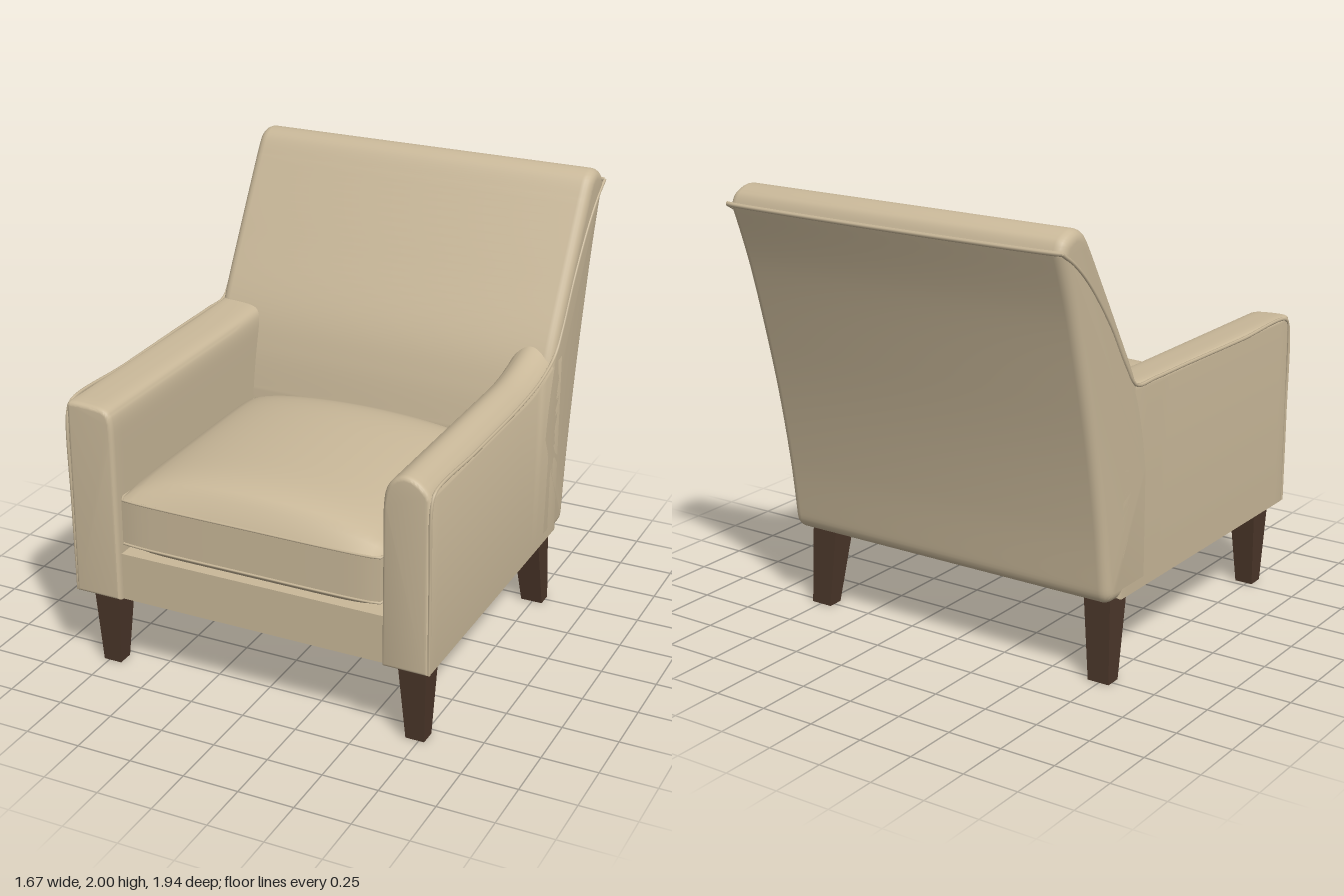
import * as THREE from 'three';
import { toCreasedNormals } from 'three/addons/utils/BufferGeometryUtils.js';

const fabric = new THREE.MeshStandardMaterial({ color: 0xc9b899 });
fabric.name = 'beigeFabric';
const wood = new THREE.MeshStandardMaterial({ color: 0x4c372a });
wood.name = 'darkWood';

const v2 = (pts) => pts.map(([x, y]) => new THREE.Vector2(x, y));

export function createModel() {
  const group = new THREE.Group();
  group.name = 'armchair';

  const add = (name, geometry, material = fabric) => {
    const mesh = new THREE.Mesh(geometry, material);
    mesh.name = name;
    group.add(mesh);
    return mesh;
  };
  // Move every vertex of a geometry by a rule
  const deform = (geometry, rule) => {
    const p = geometry.attributes.position;
    const v = new THREE.Vector3();
    for (let i = 0; i < p.count; i++) {
      rule(v.fromBufferAttribute(p, i));
      p.setXYZ(i, v.x, v.y, v.z);
    }
    geometry.computeVertexNormals();
    return geometry;
  };
  const box = (x0, x1, y0, y1, z0, z1, sx = 1, sy = 1, sz = 1) =>
    new THREE.BoxGeometry(x1 - x0, y1 - y0, z1 - z0, sx, sy, sz)
      .translate((x0 + x1) / 2, (y0 + y1) / 2, (z0 + z1) / 2);
  const piping = (name, pts, closed = false, radius = 0.008) => {
    const curve = new THREE.CatmullRomCurve3(pts.map((p) => new THREE.Vector3(...p)), closed, 'centripetal');
    add(name, new THREE.TubeGeometry(curve, 120, radius, 6, closed));
  };

  // Raked backrest: side profile in (z, y), extruded across the width
  const profile = new THREE.Shape();
  profile.moveTo(-0.27, 0.38);
  profile.lineTo(-0.54, 0.38);
  profile.quadraticCurveTo(-0.6, 0.38, -0.607, 0.45);
  profile.splineThru(v2([[-0.64, 0.7], [-0.695, 1.0], [-0.765, 1.3], [-0.86, 1.65], [-0.955, 1.92]]));
  profile.splineThru(v2([[-0.925, 1.972], [-0.85, 2.0], [-0.78, 1.975], [-0.72, 1.89]]));
  profile.splineThru(v2([[-0.54, 1.585], [-0.38, 1.3], [-0.31, 1.1], [-0.27, 0.9]]));
  const bevel = 0.045, width = 1.66;
  const back = new THREE.ExtrudeGeometry(profile, {
    depth: width - 2 * bevel, curveSegments: 8,
    bevelThickness: bevel, bevelSize: bevel, bevelOffset: -bevel, bevelSegments: 5,
  });
  back.translate(0, 0, bevel - width / 2).rotateY(-Math.PI / 2);
  add('backrest', toCreasedNormals(back, 0.7));

  // Arms: the right one is boxy, the left one has a rounded roll
  const arms = [
    {
      name: 'rightArm', side: -1, inner: 0.61, pipeY: 1.262, rise: 0.01,
      top: [[0.613, 1.2], [0.628, 1.25], [0.665, 1.27], [0.74, 1.277], [0.8, 1.278], [0.825, 1.27], [0.83, 1.245]],
    },
    {
      name: 'leftArm', side: 1, inner: 0.622, pipeY: 1.187, rise: 0.08,
      top: [[0.63, 1.165], [0.65, 1.21], [0.685, 1.24], [0.725, 1.25], [0.77, 1.235], [0.81, 1.2], [0.83, 1.165]],
    },
  ];
  for (const { name, side, inner, pipeY, rise, top } of arms) {
    const s = new THREE.Shape();
    s.moveTo(side * 0.83, 0.38);
    s.lineTo(side * inner, 0.38);
    s.lineTo(side * inner, 1.1);
    s.splineThru(v2(top.map(([x, y]) => [side * x, y])));
    s.closePath();
    const arm = new THREE.ExtrudeGeometry(s, {
      depth: 1.42, steps: 24, curveSegments: 4,
      bevelThickness: 0.025, bevelSize: 0.018, bevelOffset: -0.018, bevelSegments: 4,
    }).translate(0, 0, -0.485);
    // Sweep the arm top upward where it meets the backrest
    deform(arm, (v) => {
      const t = THREE.MathUtils.clamp((-0.05 - v.z) / 0.4, 0, 1);
      v.y += rise * t * t * THREE.MathUtils.smoothstep(v.y, 0.95, 1.15);
    });
    add(name, toCreasedNormals(arm, 0.7));

    // Piping up the arm front, along the arm and up the side of the back
    const edge = [
      [0.945, 0.385], [0.95, 0.8], [0.948, pipeY - 0.04], [0.92, pipeY], [0.5, pipeY + 0.003],
      [0, pipeY + 0.01], [-0.25, Math.max(1.225, pipeY + 0.012)], [-0.4, 1.282], [-0.48, 1.38],
      [-0.6, 1.57], [-0.76, 1.77], [-0.87, 1.87], [-0.955, 1.925],
    ];
    piping(name + 'Piping', edge.map(([z, y]) => [side * 0.829, y, z]));
  }
  piping('backTopPiping', [[-0.832, 1.925, -0.95], [-0.79, 1.925, -0.959], [0, 1.92, -0.959],
    [0.79, 1.925, -0.959], [0.832, 1.925, -0.95]], false, 0.01);

  // Seat frame: front rail and slightly recessed underside
  add('frontRail', box(-0.63, 0.63, 0.38, 0.597, 0.78, 0.93));
  add('seatBase', box(-0.63, 0.63, 0.392, 0.59, -0.4, 0.8));

  // Seat cushion with crowned top and softly rounded outline
  const zMid = 0.335, halfW = 0.617, halfD = 0.605;
  const outline = (u, w) => [
    u * halfW * (1 - 0.025 * w ** 10), zMid + w * halfD * (1 - 0.025 * u ** 10),
  ];
  const cushion = new THREE.BoxGeometry(2, 2, 2, 28, 6, 28);
  add('seatCushion', deform(cushion, (v) => {
    const u = v.x, w = v.z, h = v.y;
    const dome = Math.pow(1 - u * u, 0.7) * Math.pow(1 - w ** 6, 0.6);
    const soft = Math.pow(1 - u ** 8, 0.5) * Math.pow(1 - w ** 8, 0.5);
    [v.x, v.z] = outline(u, w);
    v.y = 0.7525 + 0.1025 * h;
    if (h > 0.99) v.y += 0.115 * dome + 0.03 * soft;
    if (h < -0.99) v.y -= 0.06 * soft;
  }));
  for (const y of [0.65, 0.855]) {
    const loop = [];
    const corners = [[1, 1], [-1, 1], [-1, -1], [1, -1]];
    corners.forEach(([u, w], i) => {
      const [nu, nw] = corners[(i + 1) % 4];
      for (const t of [0, 0.05, 0.2, 0.5, 0.8, 0.95]) {
        const [x, z] = outline(u + (nu - u) * t, w + (nw - w) * t);
        loop.push([x, y, z]);
      }
    });
    piping('cushionPiping', loop, true, 0.006);
  }

  // Tapered legs: [top x0, x1, z0, z1] and the same for the foot
  const legs = [
    ['frontLeg', [0.66, 0.79, 0.75, 0.885], [0.69, 0.775, 0.78, 0.855]],
    ['backLeg', [0.66, 0.79, -0.515, -0.38], [0.695, 0.797, -0.53, -0.457]],
  ];
  for (const [name, top, foot] of legs) {
    for (const side of [-1, 1]) {
      const leg = new THREE.BoxGeometry(1, 1, 1);
      deform(leg, (v) => {
        const r = v.y > 0 ? top : foot;
        const outer = v.x * side > 0;
        v.set(side * (outer ? r[1] : r[0]), v.y > 0 ? 0.4 : 0, v.z > 0 ? r[3] : r[2]);
      });
      add((side > 0 ? 'left' : 'right') + name[0].toUpperCase() + name.slice(1), leg, wood);
    }
  }

  return group;
}
